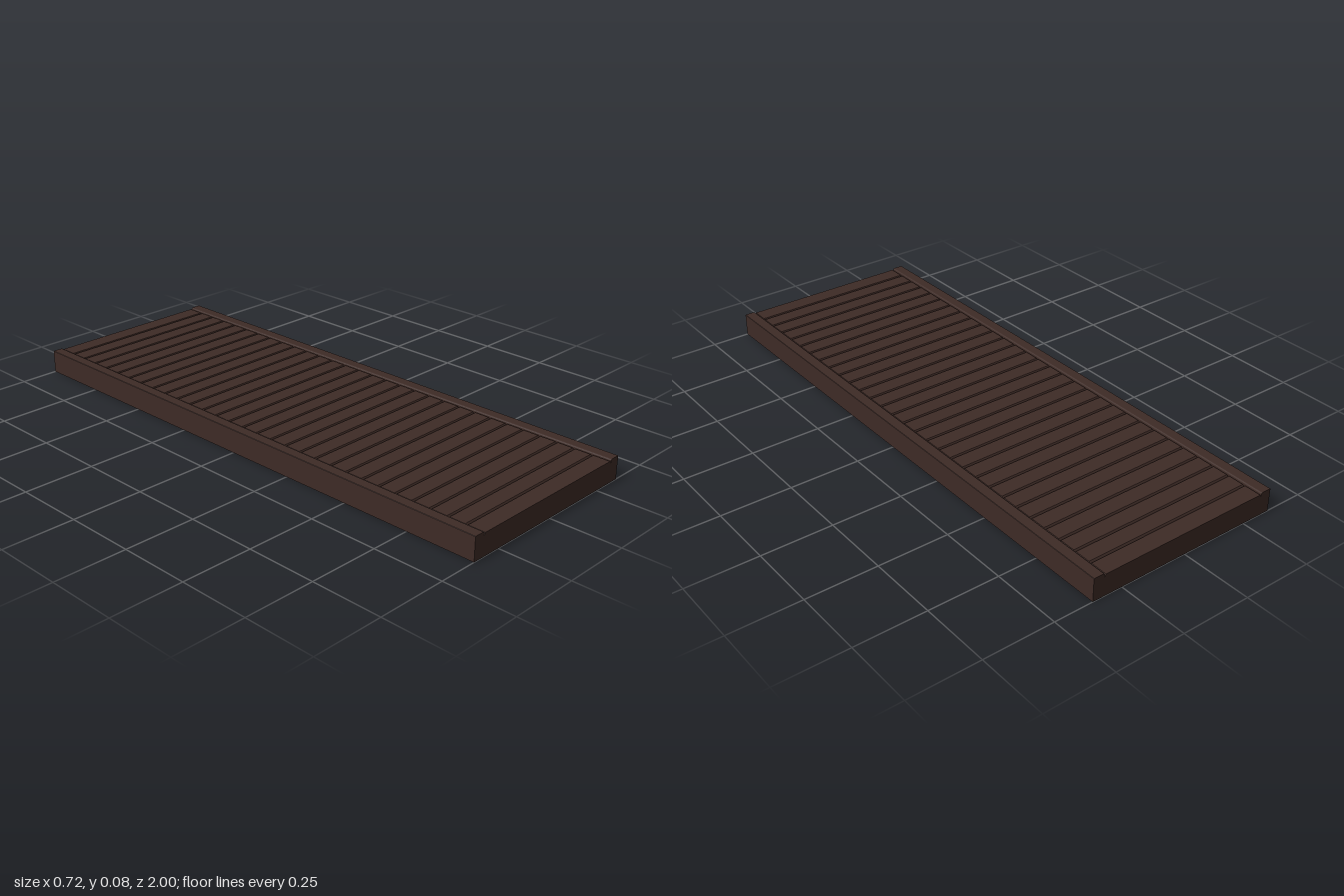
import * as THREE from 'three';

const LENGTH = 2, HALF_WIDTH = 0.36, RAIL_INNER = 0.32;
const BASE_TOP = 0.07, PLANK_TOP = 0.078, RAIL_TOP = 0.083;
const PLANKS = 30;

const wood = new THREE.MeshStandardMaterial({ color: 0x3e2b26, roughness: 0.9, flatShading: true });

function addPart(group, name, geometry) {
  const mesh = new THREE.Mesh(geometry, wood);
  mesh.name = name;
  group.add(mesh);
  return mesh;
}

// Board whose top edges slope inwards; outer ends of the deck stay square
function plankGeometry(depth, insetBack, insetFront) {
  const h = PLANK_TOP - BASE_TOP, w = 2 * (RAIL_INNER - 0.001);
  const geometry = new THREE.BoxGeometry(w, h, depth);
  const p = geometry.attributes.position;
  for (let i = 0; i < p.count; i++) {
    if (p.getY(i) < 0) continue;
    p.setX(i, p.getX(i) - Math.sign(p.getX(i)) * 0.004);
    p.setZ(i, p.getZ(i) + (p.getZ(i) < 0 ? insetBack : -insetFront));
  }
  geometry.computeVertexNormals();
  return geometry;
}

// Side rail section with a rounded inner top edge, extruded along z
function railGeometry(side) {
  const r = 0.006;
  const shape = new THREE.Shape();
  shape.moveTo(side * RAIL_INNER, 0);
  shape.lineTo(side * HALF_WIDTH, 0);
  shape.lineTo(side * HALF_WIDTH, RAIL_TOP - 0.001);
  shape.lineTo(side * (HALF_WIDTH - 0.001), RAIL_TOP);
  shape.lineTo(side * (RAIL_INNER + r), RAIL_TOP);
  shape.quadraticCurveTo(side * RAIL_INNER, RAIL_TOP, side * RAIL_INNER, RAIL_TOP - r);
  shape.closePath();
  const geometry = new THREE.ExtrudeGeometry(shape, { depth: LENGTH, bevelEnabled: false, curveSegments: 4 });
  return geometry.translate(0, 0, -LENGTH / 2);
}

export function createModel() {
  const model = new THREE.Group();
  model.name = 'plankWalkway';

  // Solid bed under the planks
  addPart(model, 'base', new THREE.BoxGeometry(2 * RAIL_INNER, BASE_TOP, LENGTH)).position.y = BASE_TOP / 2;

  // Cross planks separated by V grooves
  const planks = new THREE.Group();
  planks.name = 'planks';
  model.add(planks);
  const depth = LENGTH / PLANKS, inset = 0.005;
  for (let i = 0; i < PLANKS; i++) {
    const geometry = plankGeometry(depth, i === 0 ? 0 : inset, i === PLANKS - 1 ? 0 : inset);
    addPart(planks, 'plank', geometry)
      .position.set(0, (BASE_TOP + PLANK_TOP) / 2, -LENGTH / 2 + (i + 0.5) * depth);
  }

  // Raised rails along both long sides
  addPart(model, 'leftRail', railGeometry(1));
  addPart(model, 'rightRail', railGeometry(-1));

  return model;
}
